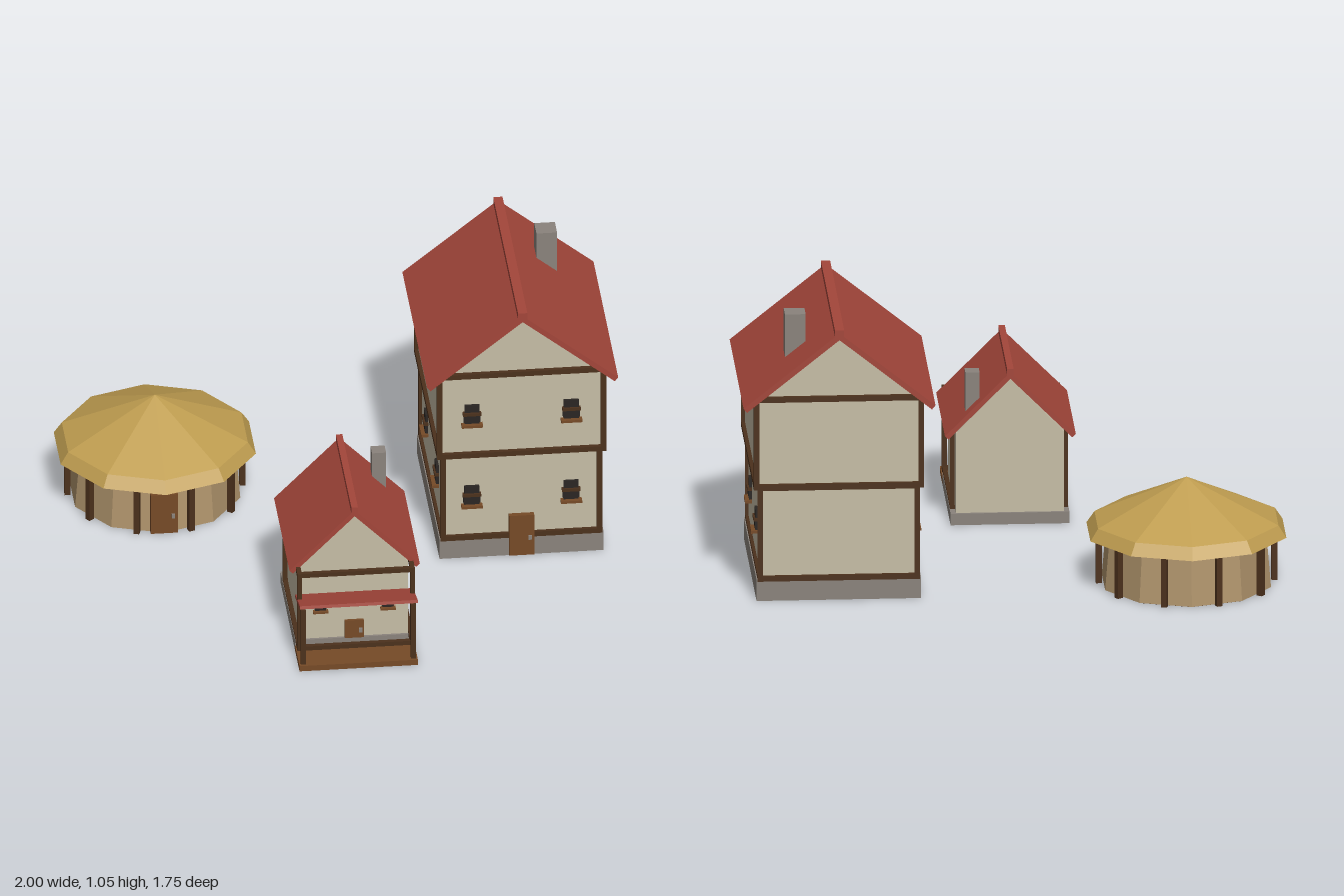
import * as THREE from 'three';

const mat = (name, color, flatShading = false) => {
  const m = new THREE.MeshStandardMaterial({ color, flatShading });
  m.name = name;
  return m;
};

export function createModel() {
  const M = {
    plaster: mat('plaster', 0xc6bda6),
    timber: mat('dark timber', 0x4c311c),
    roof: mat('red roof', 0xa3463a),
    stone: mat('grey stone', 0x8a837c),
    thatch: mat('thatch', 0xbf9d50, true),
    clay: mat('tan clay', 0xb0946c, true),
    wood: mat('brown wood', 0x764a27),
    pane: mat('dark pane', 0x2a2623),
  };

  const add = (parent, name, geo, material) => {
    const m = new THREE.Mesh(geo, material);
    m.name = name;
    parent.add(m);
    return m;
  };
  // Box given by centre and size
  const box = (parent, name, material, x, y, z, w, h, d) => {
    const m = add(parent, name, new THREE.BoxGeometry(w, h, d), material);
    m.position.set(x, y, z);
    return m;
  };
  const group = (parent, name, x = 0, y = 0, z = 0) => {
    const g = new THREE.Group();
    g.name = name;
    g.position.set(x, y, z);
    parent.add(g);
    return g;
  };
  // Profile in x,y extruded between two z values
  const prism = (parent, name, material, pts, z0, z1) => {
    const shape = new THREE.Shape(pts.map(p => new THREE.Vector2(p[0], p[1])));
    const geo = new THREE.ExtrudeGeometry(shape, { depth: z1 - z0, bevelEnabled: false });
    geo.translate(0, 0, z0);
    return add(parent, name, geo, material);
  };

  // Timber cage: four corner posts with rails at bottom and top
  const frame = (parent, name, hw, z0, z1, y0, y1, t = 0.02) => {
    const g = group(parent, name);
    for (const s of [-1, 1])
      for (const z of [z0, z1]) box(g, 'cornerPost', M.timber, s * hw, (y0 + y1) / 2, z, t, y1 - y0, t);
    for (const y of [y0 + t / 2, y1 - t / 2]) {
      for (const z of [z0, z1]) box(g, 'crossRail', M.timber, 0, y, z, 2 * hw, t, t);
      for (const s of [-1, 1]) box(g, 'sideRail', M.timber, s * hw, y, (z0 + z1) / 2, t, t, z1 - z0);
    }
  };

  // Window facing +z before rotation
  const windowUnit = (parent, x, y, z, ry, s = 1) => {
    const g = group(parent, 'window', x, y, z);
    g.rotation.y = ry;
    g.scale.setScalar(s);
    box(g, 'pane', M.pane, 0, 0, 0, 0.055, 0.08, 0.016);
    box(g, 'crossBar', M.timber, 0, 0.004, 0.004, 0.068, 0.012, 0.022);
    box(g, 'lowerFrame', M.pane, 0, -0.015, 0.002, 0.062, 0.03, 0.016);
    box(g, 'sill', M.wood, 0, -0.042, 0.008, 0.078, 0.01, 0.032);
  };

  // Pitched roof: chevron slab with a ridge cap
  const pitchedRoof = (parent, w, eave, ridge, z0, z1, t, cap) => {
    const len = Math.hypot(w, ridge - eave);
    const nx = (ridge - eave) / len * t, ny = w / len * t;
    prism(parent, 'roof', M.roof, [
      [0, ridge], [-w, eave], [-w + nx, eave - ny],
      [0, ridge - t * len / w], [w - nx, eave - ny], [w, eave],
    ], z0, z1);
    box(parent, 'ridgeCap', M.roof, 0, ridge, (z0 + z1) / 2, cap, 0.026, z1 - z0 + 0.004);
  };

  const door = (parent, x, y0, z, w, h, d) => {
    box(parent, 'door', M.wood, x, y0 + h / 2, z, w, h, d);
    box(parent, 'doorKnob', M.stone, x + w * 0.33, y0 + h * 0.45, z + d / 2 + 0.004, 0.012, 0.016, 0.008);
  };

  const village = new THREE.Group();
  village.name = 'village';

  // Tall two-storey house
  const tall = group(village, 'tallHouse', 0.644, 0, -0.264);
  box(tall, 'foundation', M.stone, 0, 0.04, 0, 0.604, 0.08, 0.762);
  box(tall, 'lowerWalls', M.plaster, 0, 0.26, 0, 0.572, 0.36, 0.738);
  frame(tall, 'lowerFrame', 0.288, -0.372, 0.372, 0.074, 0.442);
  box(tall, 'upperWalls', M.plaster, 0, 0.605, 0, 0.596, 0.33, 0.754);
  frame(tall, 'upperFrame', 0.302, -0.383, 0.383, 0.428, 0.784);
  prism(tall, 'gable', M.plaster, [[-0.296, 0.765], [0.296, 0.765], [0, 1.005]], -0.377, 0.377);
  pitchedRoof(tall, 0.352, 0.752, 1.035, -0.421, 0.418, 0.02, 0.034);
  box(tall, 'chimney', M.stone, 0.15, 0.95, -0.183, 0.076, 0.196, 0.076);
  door(tall, 0, 0.002, 0.379, 0.092, 0.168, 0.02);
  for (const s of [-1, 1]) {
    windowUnit(tall, s * 0.183, 0.26, 0.371, 0);
    windowUnit(tall, s * 0.183, 0.608, 0.379, 0);
    for (const z of [0.183, -0.183]) windowUnit(tall, s * 0.288, 0.255, z, s * Math.PI / 2);
  }

  // Small cottage; the timber cage stands forward of the walls
  const cottage = group(village, 'cottage', -0.037, 0, 0.468);
  box(cottage, 'foundation', M.stone, 0, 0.022, 0, 0.436, 0.044, 0.496);
  box(cottage, 'walls', M.plaster, 0, 0.198, 0, 0.396, 0.312, 0.478);
  prism(cottage, 'gable', M.plaster, [[-0.197, 0.35], [0.197, 0.35], [0, 0.556]], -0.239, 0.239);
  frame(cottage, 'timberFrame', 0.208, -0.182, 0.304, 0.036, 0.362, 0.017);
  pitchedRoof(cottage, 0.24, 0.348, 0.59, -0.266, 0.26, 0.018, 0.024);
  box(cottage, 'chimney', M.stone, 0.136, 0.49, -0.19, 0.052, 0.172, 0.052);
  door(cottage, 0, 0.042, 0.242, 0.07, 0.074, 0.014);
  for (const s of [-1, 1]) windowUnit(cottage, s * 0.124, 0.19, 0.241, 0, 0.72);

  // Cottage porch
  const porch = group(cottage, 'porch');
  box(porch, 'porchFloor', M.wood, 0, 0.011, 0.322, 0.436, 0.022, 0.152);
  for (const s of [-1, 1]) box(porch, 'porchPost', M.timber, s * 0.203, 0.135, 0.379, 0.018, 0.235, 0.018);
  const awning = box(porch, 'awning', M.roof, 0, 0.251, 0.323, 0.434, 0.012, 0.168);
  awning.rotation.x = -0.27;

  // Round hut
  const hut = group(village, 'roundHut', -0.64, 0, -0.497);
  add(hut, 'hutWall', new THREE.CylinderGeometry(0.3, 0.32, 0.23, 10), M.clay).position.y = 0.116;
  add(hut, 'hutFloor', new THREE.CylinderGeometry(0.318, 0.318, 0.004, 10), M.timber).position.y = 0.002;
  const profile = [[0.28, 0.195], [0.378, 0.195], [0.348, 0.24], [0, 0.4]];
  add(hut, 'thatchRoof', new THREE.LatheGeometry(profile.map(p => new THREE.Vector2(p[0], p[1])), 10), M.thatch);
  for (let i = 0; i < 10; i++) {
    const a = (i + 0.5) * Math.PI / 5;
    box(hut, 'hutPost', M.timber, Math.sin(a) * 0.322, 0.1, Math.cos(a) * 0.322, 0.022, 0.2, 0.022).rotation.y = a;
  }
  door(hut, 0, 0.002, 0.31, 0.1, 0.163, 0.03);

  return village;
}
